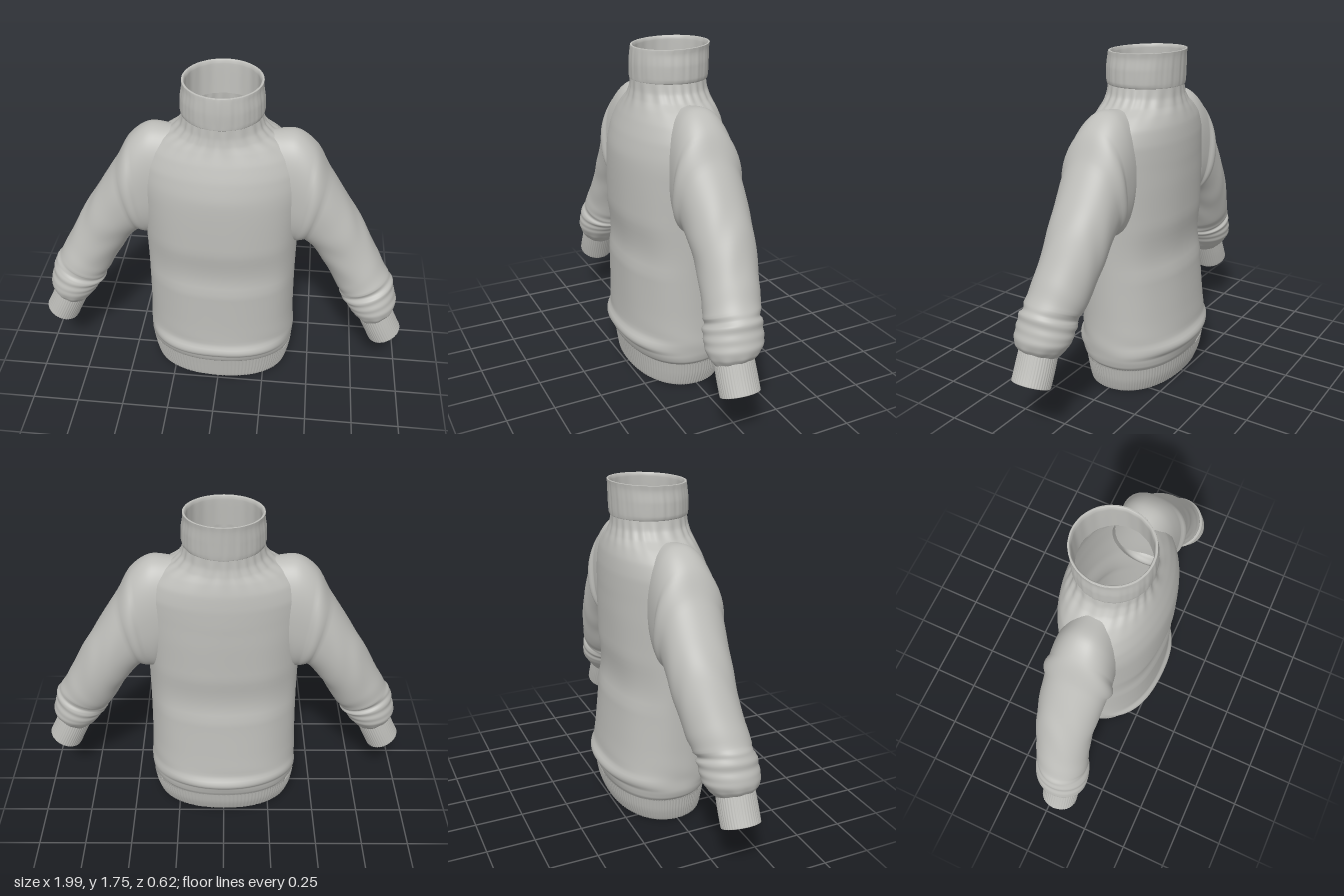
import * as THREE from 'three';

const V = (x, y, z) => new THREE.Vector3(x, y, z);
const wool = new THREE.MeshStandardMaterial({ color: 0xbdbdb9, side: THREE.DoubleSide });
wool.name = 'grey wool';

// Closed cross-section: centre c, half axes a and b, roundness n (2 = ellipse)
const ring = (c, a, b, n = 2) => ({ c, a, b, n });

// Level section of the torso: height, half width, front z, back z, tilt of the back
const level = (y, w, front, back, n = 2, tilt = 0) =>
  ring(V(0, y + tilt, (front + back) / 2), V(w, 0, 0), V(0, tilt, (back - front) / 2), n);

// Section of a sleeve from its upper and lower edge in the front plane
const across = (s, [ox, oy, ix, iy, z, half, n = 2]) =>
  ring(V(s * (ox + ix) / 2, (oy + iy) / 2, z),
    V(s * (ox - ix) / 2, (oy - iy) / 2, 0), V(0, 0, s * half), n);

// Skin through the sections; bump(angle, t, point) scales each point about its centre
function loft(name, rings, segs, steps, bump = () => 1) {
  const curve = k => new THREE.CatmullRomCurve3(rings.map(r => r[k]));
  const cc = curve('c'), ca = curve('a'), cb = curve('b');
  const pos = [], idx = [];
  const pw = (v, n) => Math.sign(v) * Math.pow(Math.abs(v), 2 / n);
  for (let i = 0; i <= steps; i++) {
    const t = i / steps, f = t * (rings.length - 1), k = Math.min(Math.floor(f), rings.length - 2);
    const n = THREE.MathUtils.lerp(rings[k].n, rings[k + 1].n, f - k);
    const c = cc.getPoint(t), a = ca.getPoint(t), b = cb.getPoint(t);
    for (let j = 0; j < segs; j++) {
      const q = j / segs * Math.PI * 2;
      const d = a.clone().multiplyScalar(pw(Math.cos(q), n)).addScaledVector(b, pw(Math.sin(q), n));
      const p = c.clone().addScaledVector(d, bump(q, t, c.clone().add(d)));
      pos.push(p.x, p.y, p.z);
      if (i < steps) {
        const j2 = (j + 1) % segs, r0 = i * segs, r1 = r0 + segs;
        idx.push(r0 + j, r0 + j2, r1 + j, r0 + j2, r1 + j2, r1 + j);
      }
    }
  }
  const g = new THREE.BufferGeometry();
  g.setAttribute('position', new THREE.Float32BufferAttribute(pos, 3));
  g.setIndex(idx);
  g.computeVertexNormals();
  const mesh = new THREE.Mesh(g, wool);
  mesh.name = name;
  return mesh;
}

const ribs = (count, amp) => q => 1 + amp * Math.cos(q * count);
const near = (v, mid, width) => Math.exp(-(((v - mid) / width) ** 2));

export function createModel() {
  const sweater = new THREE.Group();
  sweater.name = 'sweater';

  // Torso, rising over the shoulders into the neck
  const torso = [
    level(0.13, 0.375, 0.245, -0.265, 2.2),
    level(0.155, 0.395, 0.268, -0.277, 2.2),
    level(0.20, 0.403, 0.283, -0.287, 2.2),
    level(0.28, 0.402, 0.283, -0.287, 2.2),
    level(0.42, 0.395, 0.28, -0.272, 2.2),
    level(0.65, 0.392, 0.28, -0.252, 2.2),
    level(0.90, 0.395, 0.285, -0.247, 2.2),
    level(1.10, 0.41, 0.285, -0.25, 2.1),
    level(1.22, 0.42, 0.28, -0.25, 2),
    level(1.32, 0.41, 0.257, -0.247, 2),
    level(1.40, 0.37, 0.228, -0.237, 2),
    level(1.455, 0.305, 0.205, -0.222, 2),
    level(1.49, 0.245, 0.192, -0.21, 2),
    level(1.53, 0.21, 0.183, -0.2, 2),
    level(1.60, 0.19, 0.178, -0.195, 2),
  ];
  sweater.add(loft('torso', torso, 144, 90, (q, t, p) => 1
    + 0.018 * near(p.y, 1.52, 0.06) * Math.sin(q * 22 + 2 * Math.sin(q * 3))
    + 0.008 * near(p.y, 0.24, 0.07) * Math.sin(q * 5 + p.y * 30)
    + 0.004 * near(p.y, 0.7, 0.35) * Math.sin(q * 9 + p.y * 2)));

  // Ribbed hem with a turned-in lining
  sweater.add(loft('hem', [
    level(0.14, 0.397, 0.258, -0.277, 2.2),
    level(0.07, 0.386, 0.248, -0.265, 2.2),
    level(0.004, 0.366, 0.237, -0.24, 2.2),
    level(0, 0.358, 0.23, -0.233, 2.2),
    level(0.006, 0.35, 0.222, -0.225, 2.2),
    level(0.14, 0.38, 0.245, -0.264, 2.2),
  ].reverse(), 480, 20, ribs(120, 0.005)));

  // Folded roll collar, outside then over the rim and down inside
  sweater.add(loft('collar', [
    level(1.585, 0.184, 0.176, -0.193),
    level(1.578, 0.198, 0.186, -0.203),
    level(1.60, 0.205, 0.187, -0.206),
    level(1.66, 0.203, 0.187, -0.209, 2, 0.003),
    level(1.715, 0.195, 0.182, -0.212, 2, 0.006),
    level(1.737, 0.196, 0.178, -0.215, 2, 0.007),
    level(1.738, 0.188, 0.17, -0.208, 2, 0.007),
    level(1.72, 0.18, 0.164, -0.2, 2, 0.006),
    level(1.58, 0.182, 0.168, -0.187),
  ], 160, 64, (q, t) => 1
    + (0.007 * Math.sin(q * 19 + Math.sin(q * 4) * 2) + 0.004 * Math.sin(q * 43)) * near(t, 0.35, 0.22)
    + 0.005 * near(t, 0.9, 0.15) * Math.sin(q * 17)));

  // Sleeves: upper x, y, lower x, y, centre z, half depth, roundness
  const sleeve = [
    [0.24, 1.485, 0.325, 0.90, 0.0, 0.15, 2.2],
    [0.365, 1.492, 0.345, 0.865, 0.0, 0.158, 2.3],
    [0.46, 1.425, 0.38, 0.87, 0.003, 0.163, 2.3],
    [0.54, 1.285, 0.425, 0.885, 0.003, 0.163, 2.2],
    [0.65, 1.11, 0.485, 0.825, 0.0, 0.158, 2.1],
    [0.735, 0.97, 0.55, 0.72, 0.003, 0.15],
    [0.82, 0.81, 0.61, 0.61, 0.018, 0.142],
    [0.885, 0.69, 0.64, 0.565, 0.035, 0.14],
    [0.915, 0.645, 0.648, 0.535, 0.043, 0.14],
    [0.93, 0.585, 0.675, 0.505, 0.048, 0.143],
    [0.948, 0.53, 0.695, 0.47, 0.052, 0.142],
    [0.945, 0.485, 0.73, 0.425, 0.06, 0.122],
    [0.925, 0.45, 0.768, 0.385, 0.065, 0.092],
  ];
  // Ribbed cuff, outside then turned in at the wrist
  const cuff = [
    [0.93, 0.463, 0.763, 0.388, 0.065, 0.095],
    [0.962, 0.39, 0.797, 0.315, 0.065, 0.097],
    [0.993, 0.328, 0.829, 0.247, 0.065, 0.096],
    [0.99, 0.323, 0.836, 0.247, 0.065, 0.089],
    [0.98, 0.328, 0.838, 0.258, 0.065, 0.084],
    [0.918, 0.457, 0.775, 0.393, 0.065, 0.084],
  ];
  for (const [side, s] of [['left', 1], ['right', -1]]) {
    sweater.add(loft(side + 'Sleeve', sleeve.map(r => across(s, r)), 72, 84, (q, t, p) => 1
      + 0.02 * near(t, 0.68, 0.14) * Math.sin(t * 75 + 1.5 * Math.sin(q + s))
      + 0.014 * near(t, 0.4, 0.1) * Math.sin(t * 45 + 3 * Math.cos(q * 2 + s))
      + 0.02 * near(t, 0.95, 0.06) * Math.sin(q * 9 + s)));
    sweater.add(loft(side + 'Cuff', cuff.map(r => across(s, r)), 176, 20, ribs(44, 0.012)));
  }
  return sweater;
}
